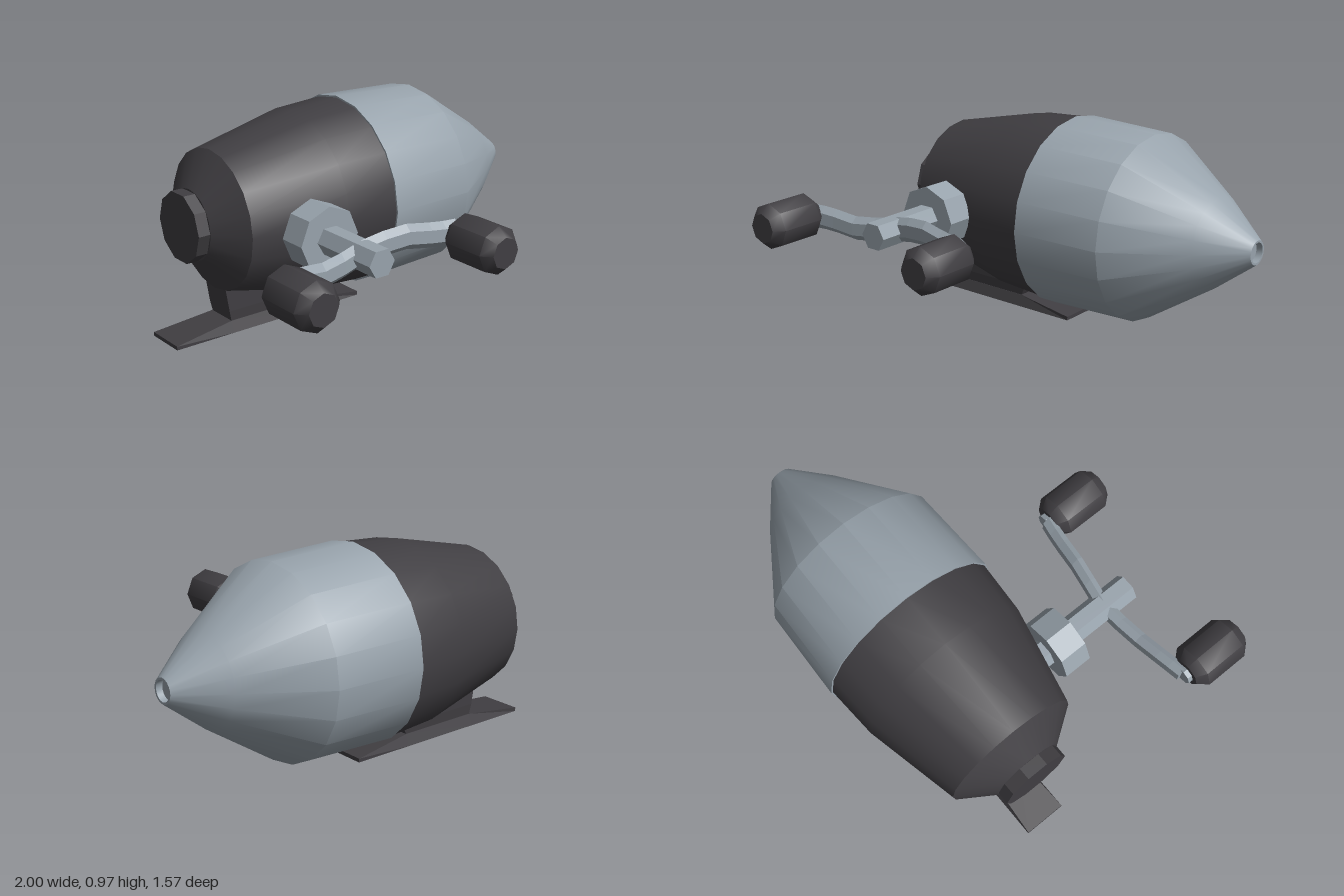
import * as THREE from 'three';
import { toCreasedNormals } from 'three/addons/utils/BufferGeometryUtils.js';

const AXIS_Y = 0.522, BODY_Z = -0.337, HUB_X = -0.425;

export function createModel() {
  const model = new THREE.Group();
  model.name = 'spinningReel';
  const dark = new THREE.MeshStandardMaterial({ color: 0x403e42 });
  dark.name = 'charcoal';
  const light = new THREE.MeshStandardMaterial({ color: 0x98a3ac });
  light.name = 'steel grey';

  const add = (name, geometry, material, x = 0, y = 0, z = 0) => {
    const mesh = new THREE.Mesh(geometry, material);
    mesh.name = name;
    mesh.position.set(x, y, z);
    model.add(mesh);
    return mesh;
  };

  // Turned part from [radius, distance along axis] pairs
  const turned = (profile, sides, crease) =>
    toCreasedNormals(new THREE.LatheGeometry(profile.map(([r, d]) => new THREE.Vector2(r, d)), sides), crease);

  // Flat-sided rod along z, from z0 to z1
  const rod = (r, z0, z1, sides) => {
    const g = new THREE.CylinderGeometry(r, r, z1 - z0, sides);
    g.rotateX(Math.PI / 2).translate(0, 0, (z0 + z1) / 2);
    return toCreasedNormals(g, 0.5);
  };

  // Solid skinned through matching cross-sections, with capped ends
  const loft = (sections) => {
    const n = sections[0].length, pos = [];
    const tri = (...pts) => pts.forEach((p) => pos.push(...p));
    for (let i = 0; i < sections.length - 1; i++) {
      const a = sections[i], b = sections[i + 1];
      for (let j = 0; j < n; j++) {
        const k = (j + 1) % n;
        tri(a[j], a[k], b[k]);
        tri(a[j], b[k], b[j]);
      }
    }
    const first = sections[0], last = sections[sections.length - 1];
    for (let j = 1; j < n - 1; j++) {
      tri(first[0], first[j + 1], first[j]);
      tri(last[0], last[j], last[j + 1]);
    }
    const g = new THREE.BufferGeometry();
    g.setAttribute('position', new THREE.Float32BufferAttribute(pos, 3));
    g.computeVertexNormals();
    return g;
  };

  // Housing, nose cone with a recessed tip, and rear cap, all turned about x
  const alongX = (name, profile, sides, material) =>
    add(name, turned(profile, sides, 0.6).rotateZ(-Math.PI / 2), material, 0, AXIS_Y, BODY_Z);
  alongX('housing', [[0, -0.785], [0.165, -0.785], [0.325, -0.675], [0.425, -0.23], [0.441, 0.025], [0, 0.025]], 20, dark);
  alongX('noseCone', [[0, 0.022], [0.449, 0.022], [0.434, 0.46], [0.21, 0.8], [0.056, 1],
    [0.046, 1], [0.046, 0.97], [0, 0.97]], 20, light);
  alongX('rearCap', [[0, -0.842], [0.163, -0.842], [0.163, -0.77], [0, -0.77]], 10, dark);

  // Mounting foot: a tapering plate with a flared stem into the housing
  const slab = (x, top, halfTop) => [
    [x, 0, BODY_Z - 0.1], [x, top, BODY_Z - halfTop],
    [x, top, BODY_Z + halfTop], [x, 0, BODY_Z + 0.1],
  ];
  add('footPlate', loft([slab(-0.94, 0.018, 0.1), slab(-0.64, 0.052, 0.08),
    slab(-0.24, 0.052, 0.08), slab(0.06, 0.018, 0.1)]), dark);
  const stem = (y, x0, x1, h) => [
    [x0, y, BODY_Z - h], [x0, y, BODY_Z + h], [x1, y, BODY_Z + h], [x1, y, BODY_Z - h],
  ];
  add('footStem', loft([stem(0.04, -0.64, -0.245, 0.077), stem(0.1, -0.652, -0.215, 0.082),
    stem(0.28, -0.68, -0.16, 0.082)]), dark);

  // Crank hub and shaft
  add('crankHub', rod(0.15, 0.065, 0.2, 8), light, HUB_X, AXIS_Y);
  // Turned so two corners lie on the x axis
  add('crankShaft', rod(0.066, -0.05, 0.55, 6).rotateZ(Math.PI / 2), light, HUB_X, AXIS_Y);

  // Two wavy arms with knobs; the second is the first turned half way round the shaft
  const waves = [[0, 0, 0.405], [0.11, 0.022, 0.42], [0.22, 0.033, 0.437],
    [0.33, 0.018, 0.452], [0.4, 0.012, 0.463], [0.462, 0.012, 0.474]];
  const hex = ([x, y, z]) => Array.from({ length: 6 }, (_, i) => {
    const a = i * Math.PI / 3;
    return [x, y + 0.057 * Math.cos(a), z + 0.034 * Math.sin(a)];
  });
  const knobProfile = [[0, 0.485], [0.07, 0.485], [0.108, 0.53], [0.108, 0.738], [0.07, 0.783], [0, 0.783]];
  for (const side of ['left', 'right']) {
    const crank = new THREE.Group();
    crank.name = side + 'Crank';
    crank.position.set(HUB_X, AXIS_Y, 0);
    if (side === 'right') crank.rotation.z = Math.PI;
    const arm = add(side + 'Arm', loft(waves.map(hex)), light);
    const pin = add(side + 'KnobPin', rod(0.045, 0.462, 0.5, 8), light, 0.468);
    const knob = add(side + 'Knob', turned(knobProfile, 8, 0.82).rotateX(Math.PI / 2), dark, 0.468);
    crank.add(arm, pin, knob);
    model.add(crank);
  }
  return model;
}
